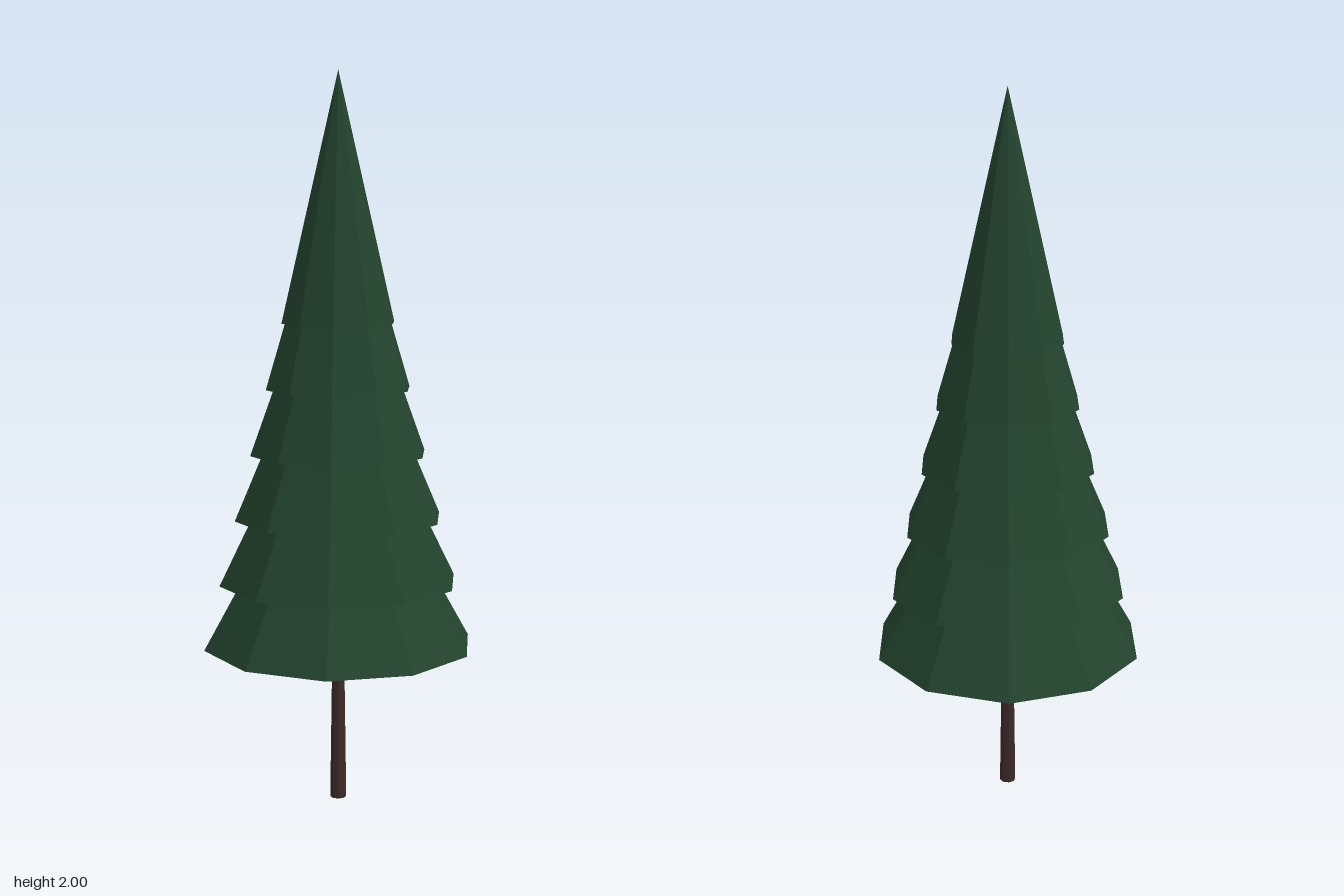
import * as THREE from 'three';

export function createModel() {
  const tree = new THREE.Group();
  tree.name = 'pineTree';

  const needles = new THREE.MeshStandardMaterial({ color: 0x23432e, flatShading: true });
  needles.name = 'needle green';
  const bark = new THREE.MeshStandardMaterial({ color: 0x3b2a26, flatShading: true });
  bark.name = 'bark brown';

  // Slender tapering trunk, ending just inside the lowest tier
  const trunkHeight = 0.46;
  const trunk = new THREE.Mesh(
    new THREE.CylinderGeometry(0.016, 0.0225, trunkHeight, 8), bark);
  trunk.name = 'trunk';
  trunk.position.y = trunkHeight / 2;
  tree.add(trunk);

  // Six overlapping ten-sided cones of equal height, shrinking upwards
  const tiers = 6, height = 0.667, firstBase = 0.445, step = 0.1776;
  for (let i = 0; i < tiers; i++) {
    const radius = 0.375 - 0.0438 * i;
    const tier = new THREE.Mesh(new THREE.ConeGeometry(radius, height, 10), needles);
    tier.name = `foliageTier${i + 1}`;
    tier.position.y = firstBase + step * i + height / 2;
    tree.add(tier);
  }

  return tree;
}
